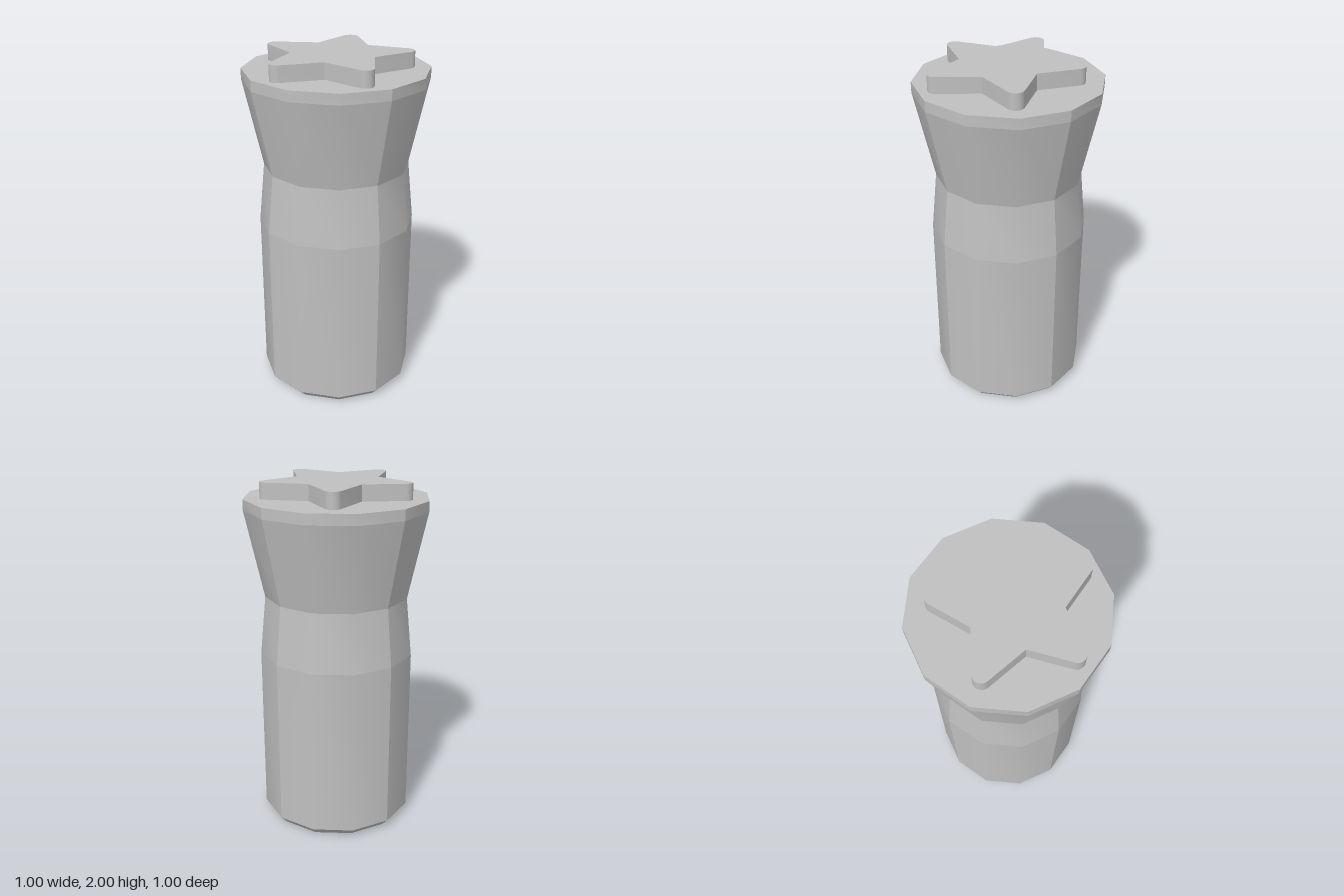
import * as THREE from 'three';
import { toCreasedNormals } from 'three/addons/utils/BufferGeometryUtils.js';

const SIDES = 12;

export function createModel() {
  const model = new THREE.Group();
  model.name = 'starStamp';
  const grey = new THREE.MeshStandardMaterial({ color: 0xbfbfbf });
  grey.name = 'plainGrey';

  const add = (name, geometry, parent = model) => {
    const mesh = new THREE.Mesh(geometry, grey);
    mesh.name = name;
    parent.add(mesh);
    return mesh;
  };

  // Twelve-sided bands, creased at the four diagonal corners and smooth between
  const addBand = (name, r0, y0, r1, y1) => {
    const band = new THREE.Group();
    band.name = name;
    const profile = [new THREE.Vector2(r0, y0), new THREE.Vector2(r1, y1)];
    for (let q = 0; q < 4; q++) {
      const start = Math.PI / 4 + q * Math.PI / 2;
      const g = new THREE.LatheGeometry(profile, SIDES / 4, start, Math.PI / 2);
      g.computeVertexNormals();
      add(name + 'Quarter', g, band);
    }
    model.add(band);
  };
  addBand('baseChamfer', 0.405, 0, 0.446, 0.045);
  addBand('handle', 0.446, 0.045, 0.446, 1.025);
  addBand('neck', 0.446, 1.025, 0.412, 1.36);
  addBand('flare', 0.412, 1.36, 0.5176, 1.85);
  addBand('rim', 0.5176, 1.85, 0.5176, 1.91);

  // End caps
  const cap = (r) => new THREE.CircleGeometry(r, SIDES, Math.PI / SIDES);
  add('topPlate', cap(0.5176).rotateX(-Math.PI / 2)).position.y = 1.91;
  add('basePlate', cap(0.405).rotateX(Math.PI / 2));

  // Raised star with rounded tips and sharp inner corners
  const points = [];
  const centreY = -0.027, tipDistance = 0.387, tipRadius = 0.045, innerRadius = 0.24;
  const sweep = THREE.MathUtils.degToRad(65), steps = 8;
  for (let i = 0; i < 5; i++) {
    const a = Math.PI / 2 + i * 2 * Math.PI / 5;
    for (let s = 0; s <= steps; s++) {
      const b = a - sweep + 2 * sweep * s / steps;
      points.push(new THREE.Vector2(
        tipDistance * Math.cos(a) + tipRadius * Math.cos(b),
        centreY + tipDistance * Math.sin(a) + tipRadius * Math.sin(b)));
    }
    const c = a + Math.PI / 5;
    points.push(new THREE.Vector2(innerRadius * Math.cos(c), centreY + innerRadius * Math.sin(c)));
  }
  const star = new THREE.ExtrudeGeometry(new THREE.Shape(points), { depth: 0.09, bevelEnabled: false });
  star.rotateX(-Math.PI / 2);
  add('raisedStar', toCreasedNormals(star, 0.6)).position.y = 1.91;

  return model;
}
